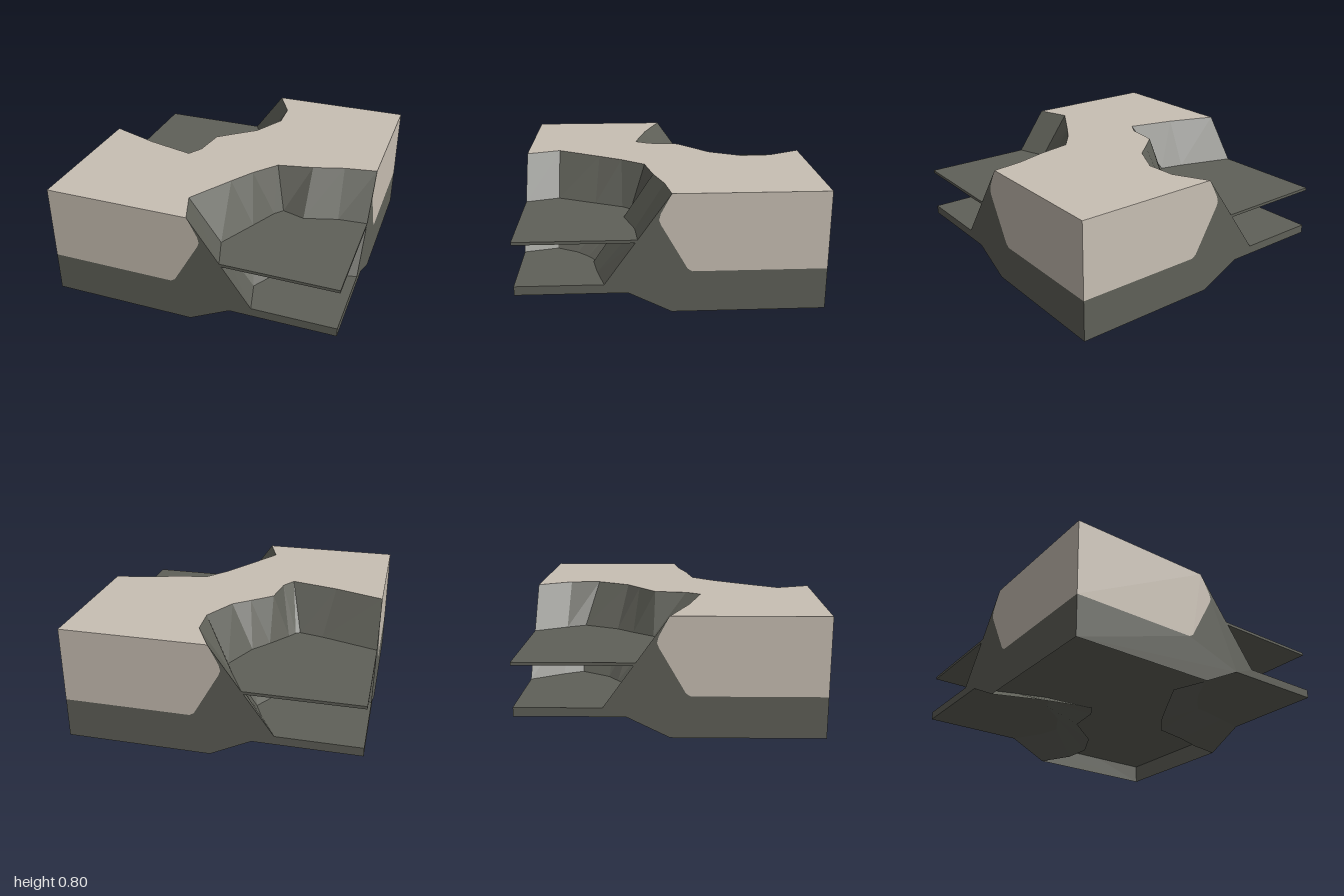
import * as THREE from 'three';

const rock = new THREE.MeshStandardMaterial({ name: 'rock grey', color: 0x5f6058, side: THREE.DoubleSide });
const sand = new THREE.MeshStandardMaterial({ name: 'sand beige', color: 0xc8bfb3, side: THREE.DoubleSide });

const TOP = 0.8, PLATE = 0.5, FLOOR = 0.2, UNDER = 0.14;

// Contours [x, z] of the two sunken corners: cliff rim, water ledge and cliff foot
const corners = {
  front: {
    sign: 1,
    rim: [[0, 1], [-0.08, 0.77], [0.1, 0.47], [0.2, 0.31], [0.33, 0.15], [0.57, 0.1], [0.78, 0.035], [1, 0]],
    plate: [[0.215, 1], [0.14, 0.77], [0.27, 0.5], [0.36, 0.31], [0.41, 0.25], [0.57, 0.3], [0.8, 0.23], [1, 0.215]],
    foot: [[0.43, 1], [0.37, 0.77], [0.45, 0.63], [0.53, 0.55], [0.6, 0.5], [0.63, 0.51], [0.8, 0.48], [1, 0.43]],
  },
  back: {
    sign: -1,
    rim: [[0, -1], [0.12, -0.77], [0.13, -0.56], [0.01, -0.33], [-0.1, -0.24], [-0.24, -0.12],
      [-0.27, 0.1], [-0.33, 0.2], [-0.66, 0.12], [-1, 0]],
    plate: [[-0.215, -1], [-0.1, -0.78], [-0.04, -0.65], [-0.15, -0.4], [-0.25, -0.28], [-0.36, -0.13],
      [-0.4, -0.07], [-0.43, -0.05], [-0.6, -0.09], [-1, -0.215]],
    foot: [[-0.43, -1], [-0.3, -0.78], [-0.24, -0.65], [-0.36, -0.45], [-0.45, -0.38], [-0.53, -0.32],
      [-0.56, -0.3], [-0.6, -0.28], [-0.75, -0.34], [-1, -0.43]],
  },
};

const toShape = (points) => new THREE.Shape(points.map(([x, y]) => new THREE.Vector2(x, y)));
const flipZ = (points) => points.map(([x, z]) => [x, -z]);

// Horizontal sheet facing up, from [x, z] points
function sheet(points, y) {
  return new THREE.ShapeGeometry(toShape(flipZ(points))).rotateX(-Math.PI / 2).translate(0, y, 0);
}

// Faceted wall joining contours at given heights, listed from top to bottom
function wall(levels) {
  const pos = [];
  for (let l = 0; l < levels.length - 1; l++) {
    const [up, yu] = levels[l], [low, yl] = levels[l + 1];
    for (let i = 0; i < up.length - 1; i++) {
      const a = [up[i][0], yu, up[i][1]], c = [up[i + 1][0], yu, up[i + 1][1]];
      const b = [low[i][0], yl, low[i][1]], d = [low[i + 1][0], yl, low[i + 1][1]];
      pos.push(...a, ...b, ...c, ...c, ...b, ...d);
    }
  }
  const g = new THREE.BufferGeometry();
  g.setAttribute('position', new THREE.Float32BufferAttribute(pos, 3));
  g.computeVertexNormals();
  return g;
}

export function createModel() {
  const model = new THREE.Group();
  model.name = 'cliffTile';
  const add = (name, geometry, material, parent = model) => {
    const mesh = new THREE.Mesh(geometry, material);
    mesh.name = name;
    parent.add(mesh);
  };

  // Sandy plateau running between the two sunken corners
  const { front, back } = corners;
  add('plateauTop', sheet([[-1, 1], ...front.rim, [1, -1], ...back.rim], TOP), sand);

  // Cut faces on the four sides: sand above, rock below and along the cliff
  const seam = [[-1, 0.28], [-0.13, 0.28], [-0.1, 0.3], [0.07, 0.6], [0.08, 0.63], [0.07, 0.67], [0, TOP]];
  const sandOutline = [...seam, [-1, TOP]];
  const rockOutline = [[-1, 0], [0, 0], [0.28, UNDER], [1, UNDER], [1, FLOOR], [0.43, FLOOR],
    ...[...seam].reverse()];
  ['front', 'right', 'back', 'left'].forEach((name, i) => {
    const mirror = i % 2 ? -1 : 1;
    const side = new THREE.Group();
    side.name = name + 'Side';
    for (const [part, outline, material] of [['sandFace', sandOutline, sand], ['rockFace', rockOutline, rock]]) {
      const face = new THREE.ShapeGeometry(toShape(outline.map(([u, y]) => [u * mirror, y])));
      add(part, face.translate(0, 0, 1).rotateY(i * Math.PI / 2), material, side);
    }
    model.add(side);
  });

  // Sunken corners
  for (const [name, { sign, rim, plate, foot }] of Object.entries(corners)) {
    const group = new THREE.Group();
    group.name = name + 'Corner';
    const tip = [sign, sign];
    add('cliff', wall([[rim, TOP], [plate, PLATE], [foot, FLOOR]]), rock, group);
    add('floor', sheet([...foot, tip], FLOOR), rock, group);

    // Thin ledge spanning the corner halfway up
    const ledge = new THREE.ExtrudeGeometry(toShape(flipZ([...plate, tip])), { depth: 0.02, bevelEnabled: false });
    add('ledge', ledge.rotateX(-Math.PI / 2).translate(0, PLATE - 0.02, 0), rock, group);

    // Sloping skirt under the floor
    const inner = rim.map(([x, z], i) => [x + (foot[i][0] - x) * 0.65, z + (foot[i][1] - z) * 0.65]);
    add('underSlope', wall([[inner, UNDER], [rim, 0]]), rock, group);
    model.add(group);
  }

  // Flat underside, recessed inside the skirt
  add('underside', new THREE.PlaneGeometry(2, 2).rotateX(Math.PI / 2).translate(0, UNDER, 0), rock);
  return model;
}
